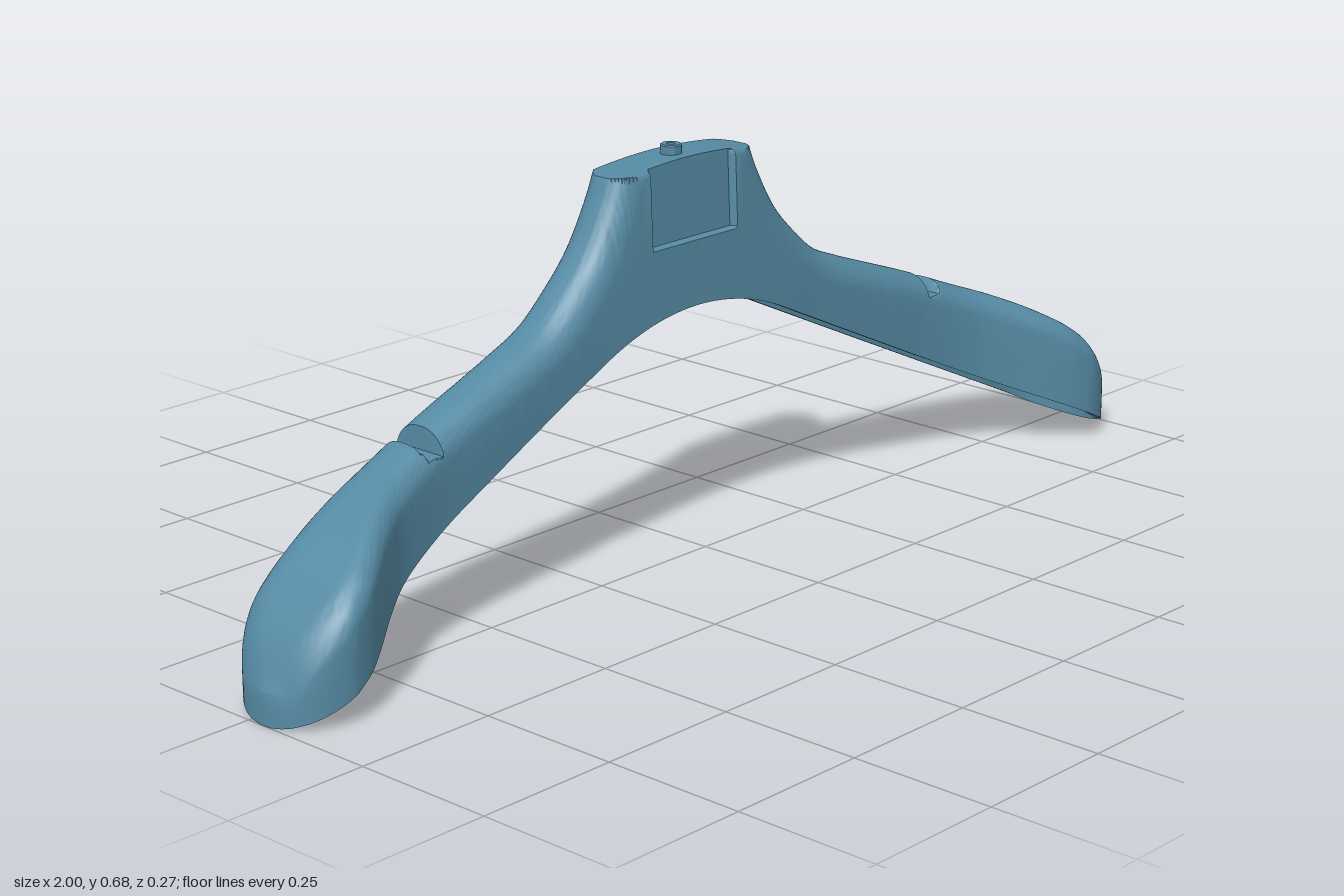
import * as THREE from 'three';
import { toCreasedNormals } from 'three/addons/utils/BufferGeometryUtils.js';

const WALL = 0.012;

// Smooth interpolation through [x, value] points
function curve(pts) {
  const slope = i => {
    const a = pts[Math.max(i - 1, 0)], b = pts[Math.min(i + 1, pts.length - 1)];
    return (b[1] - a[1]) / (b[0] - a[0]);
  };
  return x => {
    const last = pts.length - 1;
    if (x <= pts[0][0]) return pts[0][1];
    if (x >= pts[last][0]) return pts[last][1];
    let i = 0;
    while (x > pts[i + 1][0]) i++;
    const h = pts[i + 1][0] - pts[i][0], t = (x - pts[i][0]) / h;
    const t2 = t * t, t3 = t2 * t;
    return (2 * t3 - 3 * t2 + 1) * pts[i][1] + (t3 - 2 * t2 + t) * h * slope(i)
      + (3 * t2 - 2 * t3) * pts[i + 1][1] + (t3 - t2) * h * slope(i + 1);
  };
}

// Plan outline: front and back edges, closed by a round end
const frontEdge = curve([[0, -0.017], [0.3, -0.015], [0.5, -0.007], [0.6, 0], [0.7, 0.023],
  [0.76, 0.055], [0.82, 0.096], [0.86, 0.12], [0.9, 0.132]]);
const backEdge = curve([[0, -0.135], [0.3, -0.129], [0.6, -0.11], [0.9, -0.08]]);
const endArc = x => Math.sqrt(Math.max(0, 1 - ((x - 0.9) / 0.1) ** 2));
const front = x => (x > 0.9 ? 0.035 + 0.097 * endArc(x) : frontEdge(x));
const back = x => (x > 0.9 ? 0.035 - 0.115 * endArc(x) : backEdge(x));

// Shoulder ridge, continuing steeply upward inside the neck
const ridge = curve([[0.165, 0.66], [0.18, 0.625], [0.22, 0.555], [0.27, 0.5], [0.33, 0.45],
  [0.4, 0.42], [0.46, 0.398], [0.58, 0.355], [0.68, 0.315], [0.76, 0.283], [0.83, 0.247],
  [0.9, 0.2], [0.96, 0.137], [1, 0.06]]);
const shoulder = x => (x < 0.165 ? 0.66 + (0.165 - x) * 5 : ridge(x));

// Underside: straight arms joined by an arch
const bottom = x => (x < 0.22 ? 0.425 - 1.08 * x * x : 0.3727 - 0.4714 * (x - 0.22));

const inset = (d, r) => (d < r ? r - Math.sqrt(Math.max(0, r * r - (r - d) ** 2)) : 0);

// Height of the rounded upper surface, d = distance in from the plan edge
function topHeight(x, d, halfWidth) {
  const r = Math.min(halfWidth, 0.05);
  const s = x > 0.5 ? 0 : x < 0.165 ? 5 : (shoulder(x - 0.003) - shoulder(x + 0.003)) / 0.006;
  const len = Math.hypot(1, s), k = inset(d, r);
  let y = shoulder(x + k * s / len) - k / len;
  y = Math.min(y, 0.673 - 0.4 * x * x - inset(d, Math.min(r, 0.012)));
  // strap notch
  if (x > 0.5915 && x < 0.6315) y = Math.min(y, 0.313 + Math.max(0, x - 0.621) * 2);
  return y;
}

const DOME = 28;
function section(sx) {
  const x = Math.abs(sx), f = front(x), b = back(x);
  const recess = x < 0.097 ? 0.012 : 0;
  const draft = y => Math.max(0, y - 0.43) * 0.04;
  const c = (f + b) / 2, hw = (f - b) / 2;
  const dome = [];
  for (let k = 0; k <= DOME; k++) {
    const z = hw * Math.cos(Math.PI * k / DOME);
    const y = topHeight(x, hw - Math.abs(z), hw);
    const side = hw > 0 ? z / hw : 0;
    const dz = draft(y) * side;
    dome.push([sx, y, Math.min(c + z - dz, f - recess - draft(y))]);
  }
  const y0 = bottom(x), y1 = dome[0][1];
  const m = x < 0.13 ? 0.535 : y0 + (y1 - y0) * 0.6;
  const m2 = m + (y1 - m) * 0.03;
  return [
    [sx, y0, f], [sx, m, f - draft(m)], [sx, m2, f - recess - draft(m2)],
    ...dome,
    [sx, (y0 + y1) / 2, b + draft((y0 + y1) / 2)], [sx, y0, b],
  ];
}

// Stations along the width, denser at the neck, notch and round end
function stations() {
  const xs = [0];
  const run = (a, b, n) => { for (let i = 1; i <= n; i++) xs.push(a + (b - a) * i / n); };
  run(0, 0.096, 5);
  run(0.098, 0.106, 2);
  run(0.106, 0.19, 28);
  run(0.19, 0.34, 16);
  run(0.34, 0.591, 14);
  xs.push(0.592, 0.6, 0.61, 0.621, 0.626, 0.631, 0.632);
  run(0.632, 0.9, 24);
  for (let i = 1; i <= 18; i++) xs.push(0.9 + 0.1 * Math.sin(Math.PI / 2 * i / 18));
  return [...xs.slice(1).reverse().map(x => -x), ...xs];
}

// Thin shell, open underneath: outer skin, inner skin and the rim between
function shellGeometry() {
  const rows = stations().map(section), n = rows.length, w = rows[0].length;
  const pos = rows.flat(2), skin = [];
  for (let i = 0; i < n - 1; i++) {
    for (let j = 0; j < w - 1; j++) {
      const a = i * w + j, b = a + w;
      skin.push(a, b, b + 1, a, b + 1, a + 1);
    }
  }
  const outer = new THREE.BufferGeometry();
  outer.setAttribute('position', new THREE.Float32BufferAttribute(pos, 3));
  outer.setIndex(skin);
  outer.computeVertexNormals();
  const normal = outer.getAttribute('normal'), v = new THREE.Vector3();
  const inner = [];
  for (let i = 0; i < n; i++) {
    for (let j = 0; j < w; j++) {
      const k = i * w + j;
      v.fromBufferAttribute(normal, k);
      if (i === 0 || i === n - 1) v.set(i ? 1 : -1, 0, 0);
      const rim = j === 0 || j === w - 1;
      inner.push(pos[3 * k] - v.x * WALL, pos[3 * k + 1] - (rim ? 0 : v.y * WALL), pos[3 * k + 2] - v.z * WALL);
    }
  }
  const off = n * w, index = [...skin];
  for (let i = 0; i < skin.length; i += 3) index.push(skin[i] + off, skin[i + 2] + off, skin[i + 1] + off);
  for (let i = 0; i < n - 1; i++) {
    const a = i * w, b = a + w, c = a + w - 1, d = c + w;
    index.push(a, a + off, b + off, a, b + off, b);
    index.push(c, d + off, c + off, c, d, d + off);
  }
  const g = new THREE.BufferGeometry();
  g.setAttribute('position', new THREE.Float32BufferAttribute([...pos, ...inner], 3));
  g.setIndex(index);
  return toCreasedNormals(g, 0.6);
}

export function createModel() {
  const group = new THREE.Group();
  const material = new THREE.MeshStandardMaterial({ color: 0x558aa3 });
  const add = (name, geometry) => {
    const mesh = new THREE.Mesh(geometry, material);
    mesh.name = name;
    group.add(mesh);
    return mesh;
  };

  add('hangerShell', shellGeometry());

  // Hook socket: short hollow collar on top of the neck
  const collar = [[0.007, 0], [0.007, 0.03], [0.016, 0.03], [0.018, 0.028], [0.018, 0]]
    .map(([r, y]) => new THREE.Vector2(r, y)).reverse();
  add('hookSocket', toCreasedNormals(new THREE.LatheGeometry(collar, 32), 0.6)).position.set(0, 0.659, -0.077);

  // Stiffening ribs inside both arms
  for (const side of [-1, 1]) {
    for (const x of [0.36, 0.52, 0.78]) {
      const y0 = bottom(x) + 0.02, y1 = shoulder(x) - 0.05;
      const depth = front(x) - back(x) - WALL * 1.5;
      add('innerRib', new THREE.BoxGeometry(0.01, y1 - y0, depth))
        .position.set(side * x, (y0 + y1) / 2, (front(x) + back(x)) / 2);
    }
  }
  return group;
}
